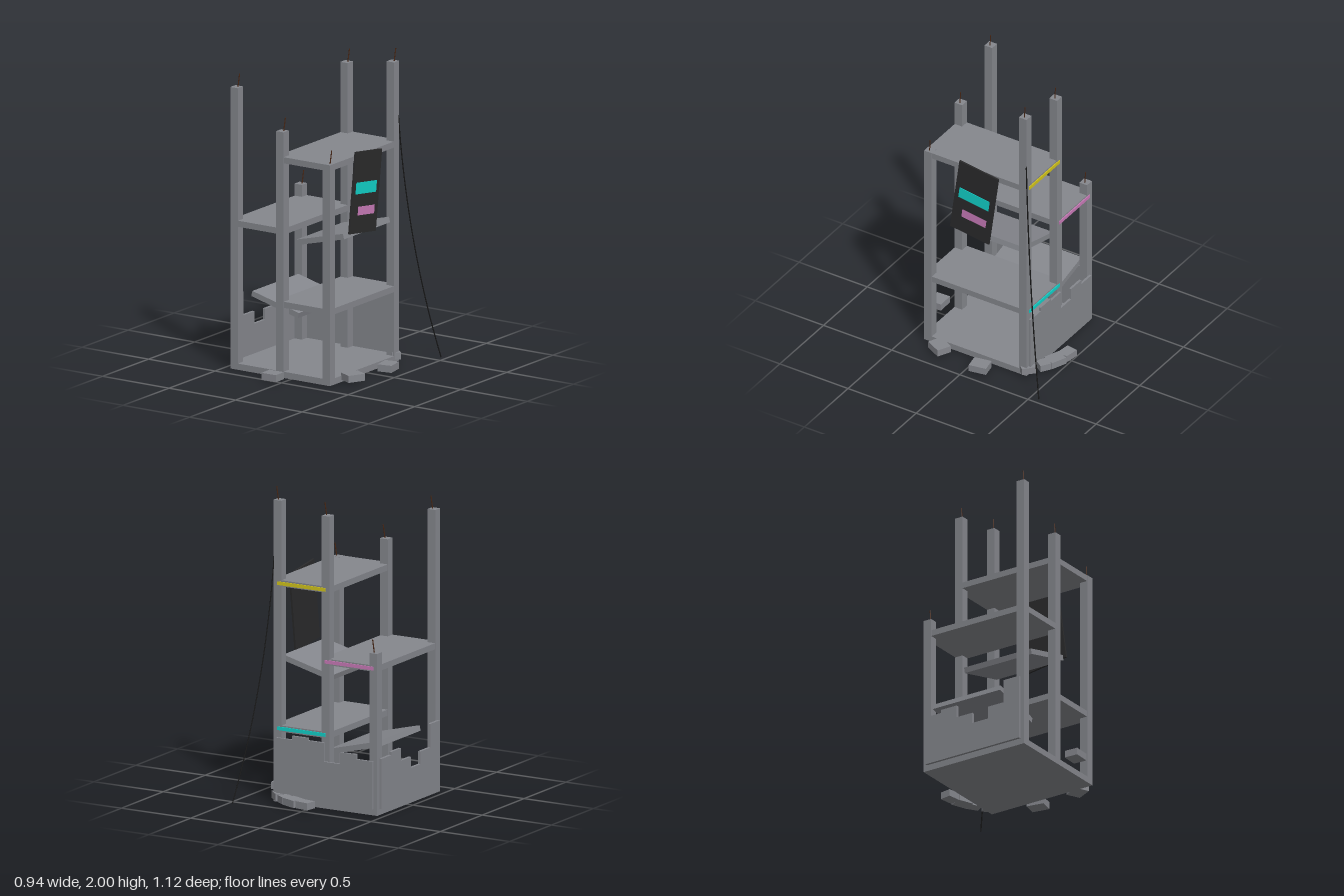
import * as THREE from 'three';

export function createModel() {
  const model = new THREE.Group();
  const mat = (name, color) => {
    const m = new THREE.MeshStandardMaterial({ color });
    m.name = name;
    return m;
  };
  const concrete = mat('concrete', 0x85878d);
  const panelBlack = mat('panelBlack', 0x2a2a2b);
  const cyan = mat('cyan', 0x12d0c8);
  const pink = mat('pink', 0xc97ab8);
  const yellow = mat('yellow', 0xd2c41c);
  const rust = mat('rust', 0x4a2816);
  const cableBlack = mat('cableBlack', 0x161616);

  // Box given by its extents along each axis
  const box = (name, material, [x0, x1], [y0, y1], [z0, z1]) => {
    const mesh = new THREE.Mesh(new THREE.BoxGeometry(x1 - x0, y1 - y0, z1 - z0), material);
    mesh.position.set((x0 + x1) / 2, (y0 + y1) / 2, (z0 + z1) / 2);
    mesh.name = name;
    model.add(mesh);
    return mesh;
  };

  // Base and intact floors
  const depth = [-0.354, 0.394];
  box('baseSlab', concrete, [-0.457, 0.291], [0, 0.04], [-0.356, 0.396]);
  box('lowerFloor', concrete, [-0.112, 0.289], [0.448, 0.487], depth);
  box('upperFloor', concrete, [-0.112, 0.289], [1.372, 1.411], depth);
  box('middleFloor', concrete, [-0.455, -0.058], [0.914, 0.953], depth);

  // Collapsed floors, tilted
  const collapsed = (name, x, y, angle) => {
    const slab = box(name, concrete, [-0.18, 0.18], [-0.0175, 0.0175], [-0.3, 0.2]);
    slab.position.set(x, y, -0.05);
    slab.rotation.z = angle;
  };
  collapsed('fallenFloorRight', 0.083, 0.864, 0.25);
  collapsed('fallenFloorLeft', -0.257, 0.396, -0.25);

  // Columns broken off at different heights, each with a bent steel bar on top
  const columns = [
    [-0.429, 0.368, 1.8], [-0.085, 0.368, 1.57], [0.263, 0.368, 1.412],
    [-0.429, -0.328, 1.03], [-0.085, -0.328, 1.86], [0.263, -0.328, 1.917]
  ];
  const r = 0.028;
  for (const [x, z, top] of columns) {
    box('column', concrete, [x - r, x + r], [0.02, top], [z - r, z + r]);
    const bar = new THREE.Mesh(new THREE.CylinderGeometry(0.0035, 0.0035, 0.1, 6), rust);
    bar.position.set(x + 0.012, top + 0.034, z - 0.004);
    bar.rotation.set(-0.1, 0, -0.08);
    bar.name = 'reinforcingBar';
    model.add(bar);
  }

  // Broken walls: strips of uneven height along the back and one side
  const backTops = [0.345, 0.375, 0.3, 0.42, 0.435, 0.41];
  backTops.forEach((top, i) => {
    const x = -0.43 + i * 0.116;
    box('backWall', concrete, [x, x + 0.116], [0.04, top], [-0.37, -0.355]);
  });
  const sideTops = [0.36, 0.38, 0.3, 0.23, 0.31, 0.46];
  sideTops.forEach((top, i) => {
    const z = -0.33 + i * 0.1165;
    box('sideWall', concrete, [-0.474, -0.456], [0.04, top], [z, z + 0.1165]);
  });

  // Coloured light strips on the back floor edges
  const strip = (name, material, x, y) =>
    box(name, material, [x, x + 0.348], [y - 0.011, y + 0.011], [-0.361, -0.353]);
  strip('cyanStrip', cyan, -0.085, 0.468);
  strip('pinkStrip', pink, -0.429, 0.934);
  strip('yellowStrip', yellow, -0.085, 1.391);

  // Crooked sign with two painted bars
  const sign = new THREE.Group();
  sign.name = 'hangingSign';
  const plate = (name, material, x, y, z, t, h, w) => {
    const mesh = new THREE.Mesh(new THREE.BoxGeometry(t, h, w), material);
    mesh.position.set(x, y, z);
    mesh.name = name;
    sign.add(mesh);
  };
  plate('signBoard', panelBlack, 0, 0, 0, 0.012, 0.515, 0.287);
  plate('signCyanBar', cyan, 0.006, 0.027, 0.003, 0.006, 0.073, 0.222);
  plate('signPinkBar', pink, 0.006, -0.117, -0.016, 0.006, 0.054, 0.177);
  sign.position.set(0.297, 1.165, 0.022);
  sign.rotation.x = -0.135;
  model.add(sign);

  // Loose cable hanging from the back corner to the ground
  const curve = new THREE.QuadraticBezierCurve3(
    new THREE.Vector3(0.288, 1.57, -0.352),
    new THREE.Vector3(0.325, 0.74, -0.395),
    new THREE.Vector3(0.466, 0.004, -0.558)
  );
  const cable = new THREE.Mesh(new THREE.TubeGeometry(curve, 24, 0.004, 6), cableBlack);
  cable.name = 'cable';
  model.add(cable);

  // Rubble blocks: x, z, width, depth, turn
  const rubble = [
    [-0.003, -0.465, 0.095, 0.075, -0.15], [0.095, -0.44, 0.108, 0.086, -0.38],
    [0.175, -0.408, 0.075, 0.07, -0.6], [0.262, -0.348, 0.095, 0.06, -0.75],
    [0.398, -0.084, 0.094, 0.115, 0.18], [0.357, 0.241, 0.095, 0.115, -0.46],
    [-0.06, 0.51, 0.107, 0.09, 0.04]
  ];
  for (const [x, z, w, d, turn] of rubble) {
    const block = box('rubble', concrete, [-w / 2, w / 2], [0.015, 0.06], [-d / 2, d / 2]);
    block.position.x = x;
    block.position.z = z;
    block.rotation.y = turn;
  }

  return model;
}
